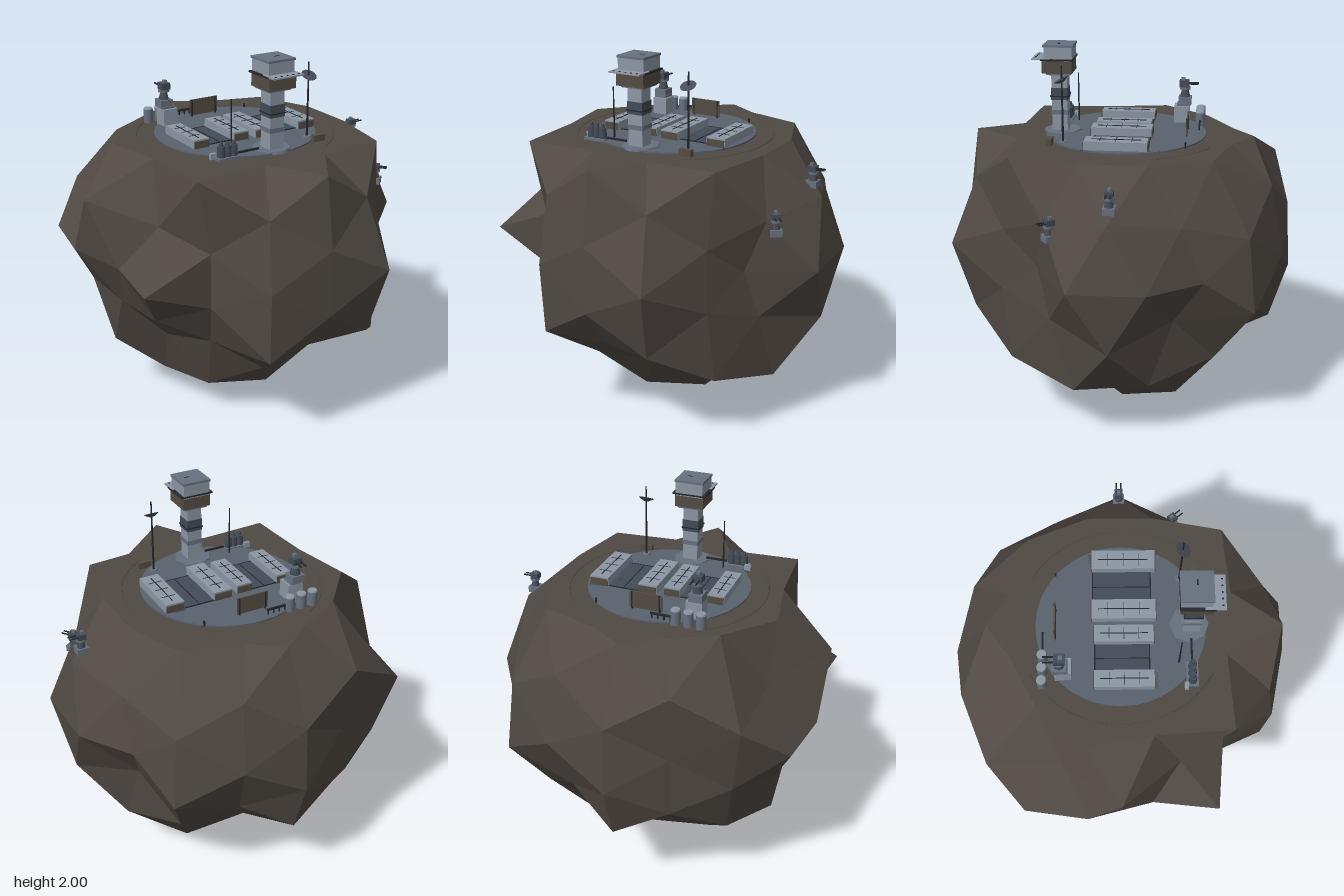
import * as THREE from 'three';

const mat = (name, color) => new THREE.MeshStandardMaterial({ name, color });
const M = {
  rock: mat('rock brown', 0x504943),
  pad: mat('pad blue grey', 0x59626f),
  panel: mat('light panel', 0x8b96a3),
  steel: mat('mid steel', 0x66717f),
  slate: mat('dark slate', 0x434b57),
  dark: mat('near black', 0x24272c),
  band: mat('dull bronze', 0x544c42),
};
const CX = -0.025, CY = 0.97, TOP = 1.52;

// Radius of every rock vertex, grouped by mirrored direction; signs run + before -, x then y then z
const RADII = {
  '53,85,0': [0.9, 0.83, 0.9, 0.9],
  '0,53,85': [0.97, 0.81, 0.82, 0.965],
  '85,0,53': [0.735, 0.875, 0.99, 0.99],
  '20,98,0': [0.9, 0.988, 0.9, 0.988],
  '0,20,98': [0.9, 0.91, 0.9, 0.935],
  '98,0,20': [0.965, 0.95, 0.82, 0.91],
  '0,93,36': [0.9, 0.9, 0.905, 0.88],
  '93,36,0': [0.925, 0.96, 0.96, 0.77],
  '36,0,93': [0.975, 0.92, 0.89, 0.83],
  '40,85,33': [0.9, 0.9, 0.8, 0.96, 0.9, 0.9, 0.89, 0.9],
  '20,73,65': [0.87, 0.88, 0.78, 0.8, 0.82, 0.86, 0.82, 0.8],
  '73,65,20': [0.835, 0.835, 0.99, 0.945, 0.8, 0.885, 0.72, 0.935],
  '58,58,58': [0.93, 0.84, 0.965, 0.9, 0.97, 0.74, 0.72, 0.92],
  '33,40,85': [0.9, 0.92, 0.945, 0.84, 0.9, 0.965, 0.955, 0.88],
  '85,33,40': [0.84, 0.86, 0.8, 0.77, 0.75, 0.763, 0.8, 0.85],
  '65,20,73': [0.8, 0.93, 0.82, 0.985, 0.74, 0.97, 0.74, 0.9],
};

function add(parent, name, geo, material, x, y, z) {
  const m = new THREE.Mesh(geo, material);
  m.name = name;
  m.position.set(x, y, z);
  parent.add(m);
  return m;
}
// Box and cylinder placed by the height of their underside
const box = (p, name, material, w, h, d, x, y, z) =>
  add(p, name, new THREE.BoxGeometry(w, h, d), material, x, y + h / 2, z);
const cyl = (p, name, material, r1, r2, h, x, y, z, n = 12) =>
  add(p, name, new THREE.CylinderGeometry(r1, r2, h, n), material, x, y + h / 2, z);

function group(parent, name, x, y, z) {
  const g = new THREE.Group();
  g.name = name;
  g.position.set(x, y, z);
  parent.add(g);
  return g;
}

// Faceted boulder with a levelled top
function buildRock(root) {
  const geo = new THREE.IcosahedronGeometry(1, 2);
  const pos = geo.attributes.position;
  for (let i = 0; i < pos.count; i++) {
    const v = new THREE.Vector3().fromBufferAttribute(pos, i).normalize();
    const c = [v.x, v.y, v.z];
    const mags = c.map((n) => Math.round(Math.abs(n) * 100));
    const index = c.reduce((k, n, j) => (mags[j] ? k * 2 + (n < 0 ? 1 : 0) : k), 0);
    v.multiplyScalar(RADII[mags.join(',')][index]);
    if (v.y > 0.41) v.y = TOP - CY;
    pos.setXYZ(i, v.x, v.y, v.z);
  }
  geo.computeVertexNormals();
  add(root, 'rock', geo, M.rock, CX, CY, 0);
}

// Twin-barrel gun, about 0.12 tall, firing along +x
function buildTurret(parent, name, x, y, z, turn, s = 1) {
  const g = group(parent, name, x, y, z);
  g.rotation.y = turn;
  g.scale.setScalar(s);
  box(g, 'turretBase', M.steel, 0.06, 0.035, 0.06, 0, -0.005, 0);
  cyl(g, 'turretNeck', M.slate, 0.014, 0.024, 0.04, 0, 0.03, 0, 8);
  cyl(g, 'turretRing', M.steel, 0.026, 0.026, 0.012, 0, 0.065, 0, 10);
  box(g, 'turretHead', M.slate, 0.045, 0.03, 0.042, -0.004, 0.077, 0);
  box(g, 'turretSight', M.steel, 0.018, 0.013, 0.016, -0.01, 0.107, 0);
  for (const side of [-1, 1]) {
    cyl(g, 'barrel', M.dark, 0.004, 0.004, 0.05, 0.037, 0.067, side * 0.012, 6).rotation.z = Math.PI / 2;
  }
}

// Long shed with seams on its roof and darker end doors
function buildShed(parent, x, w, zLen, h) {
  const g = group(parent, 'shed', x, TOP, 0.015);
  box(g, 'shedBody', M.panel, w, h, zLen, 0, 0, 0);
  box(g, 'roofRidge', M.dark, 0.004, 0.003, zLen * 0.8, 0, h, 0);
  for (let i = -1; i <= 1; i++) box(g, 'roofSeam', M.slate, w * 0.7, 0.003, 0.003, 0, h, i * zLen * 0.25);
  for (const side of [-1, 1]) {
    box(g, 'endDoor', M.band, w * 0.94, h * 0.85, 0.006, 0, 0, side * (zLen / 2 + 0.002));
    box(g, 'endSill', M.slate, w, 0.008, 0.02, 0, 0, side * (zLen / 2 + 0.008));
  }
}

function buildBay(parent, x, w, shedW, zLen) {
  box(parent, 'bayFloor', M.slate, w, 0.005, zLen * 0.92, x, TOP + 0.006, 0.005);
  box(parent, 'bayCentreLine', M.dark, 0.003, 0.003, zLen * 0.9, x, TOP + 0.011, 0.005);
  for (const s of [-1, 1]) {
    buildShed(parent, x + s * (w + shedW) / 2, shedW, zLen, 0.053);
    box(parent, 'bayBeacon', M.band, 0.012, 0.005, 0.012, x + s * w * 0.35, TOP + 0.011, s * -0.06);
    box(parent, 'bayEdge', M.dark, w, 0.012, 0.006, x, TOP, 0.005 + s * zLen * 0.46);
  }
}

function buildTower(parent) {
  const g = group(parent, 'controlTower', -0.027, TOP, 0.357);
  cyl(g, 'towerPlinth', M.steel, 0.1, 0.105, 0.014, 0, 0, -0.01, 8);
  box(g, 'towerShaft', M.panel, 0.084, 0.33, 0.084, 0, 0, 0);
  box(g, 'shaftBand', M.slate, 0.09, 0.065, 0.09, 0, 0.18, 0);
  box(g, 'shaftBand', M.steel, 0.09, 0.025, 0.09, 0, 0.1, 0);
  box(g, 'shaftCollar', M.dark, 0.098, 0.006, 0.098, 0, 0.197, 0);
  box(g, 'headFloor', M.steel, 0.13, 0.012, 0.13, 0, 0.318, 0);
  box(g, 'windowBand', M.band, 0.16, 0.065, 0.16, 0, 0.329, 0.005);
  box(g, 'headLedge', M.dark, 0.186, 0.008, 0.17, 0, 0.398, 0.005);
  box(g, 'headUpper', M.panel, 0.152, 0.078, 0.15, 0, 0.392, -0.002);
  box(g, 'headRoof', M.steel, 0.16, 0.012, 0.16, 0, 0.468, -0.002);
  box(g, 'roofHatch', M.dark, 0.03, 0.003, 0.008, 0.02, 0.478, 0);
  box(g, 'frontDeck', M.panel, 0.18, 0.007, 0.1, 0, 0.402, 0.088);
  for (let i = -2; i <= 2; i++) box(g, 'deckLight', M.dark, 0.008, 0.003, 0.008, i * 0.034, 0.409, 0.122);
}

export function createModel() {
  const root = new THREE.Group();
  root.name = 'asteroidBase';
  buildRock(root);

  // Landing pad and curved rails around it
  cyl(root, 'pad', M.pad, 0.435, 0.435, 0.012, CX, TOP - 0.004, 0, 40);
  for (const start of [-Math.PI / 3, Math.PI * 2 / 3]) {
    const rail = add(root, 'curvedRail', new THREE.TorusGeometry(0.53, 0.003, 8, 32, Math.PI * 2 / 3), M.rock, CX, TOP, 0);
    rail.rotation.set(-Math.PI / 2, 0, start);
  }

  buildBay(root, -0.21, 0.15, 0.09, 0.3);
  buildBay(root, 0.18, 0.17, 0.105, 0.325);
  buildTower(root);

  // Dish mast
  const mast = group(root, 'dishMast', 0.23, TOP, 0.305);
  cyl(mast, 'mastFoot', M.steel, 0.02, 0.025, 0.015, 0, 0, 0);
  cyl(mast, 'mastPole', M.dark, 0.004, 0.006, 0.41, 0, 0, 0, 6);
  cyl(mast, 'dish', M.slate, 0.042, 0.015, 0.016, 0, 0.325, 0, 14).rotation.x = 0.5;

  // Whip aerial
  cyl(root, 'whipAerial', M.dark, 0.003, 0.005, 0.28, -0.23, TOP, 0.29, 6);

  // Main gun on its block house
  box(root, 'gunBlock', M.panel, 0.085, 0.1, 0.085, -0.28, TOP, -0.29);
  box(root, 'gunBlockCap', M.steel, 0.07, 0.012, 0.07, -0.285, TOP + 0.1, -0.297);
  buildTurret(root, 'mainGun', -0.29, TOP + 0.11, -0.305, Math.PI / 2, 1.2);

  // Storage tanks, fuel drums and a pipe rack
  for (let i = 0; i < 3; i++) {
    cyl(root, 'storageTank', M.steel, 0.026, 0.026, 0.075, -0.342 + i * 0.067, TOP, -0.395, 14);
    cyl(root, 'tankLid', M.panel, 0.023, 0.026, 0.008, -0.342 + i * 0.067, TOP + 0.075, -0.395, 14);
    cyl(root, 'fuelDrum', M.slate, 0.02, 0.022, 0.06, -0.33 + i * 0.036, TOP + 0.01, 0.355, 10);
    cyl(root, 'drumCap', M.slate, 0.008, 0.012, 0.02, -0.33 + i * 0.036, TOP + 0.07, 0.355, 8);
  }
  box(root, 'drumPallet', M.steel, 0.13, 0.014, 0.06, -0.295, TOP, 0.355);
  box(root, 'pumpBox', M.panel, 0.035, 0.03, 0.02, -0.36, TOP, 0.325);
  box(root, 'tankPipe', M.dark, 0.11, 0.01, 0.01, -0.13, TOP + 0.03, -0.395);
  box(root, 'drumPipe', M.dark, 0.12, 0.01, 0.01, -0.17, TOP + 0.015, 0.355);
  for (let i = 0; i < 4; i++) box(root, 'pipePost', M.dark, 0.006, 0.035, 0.006, -0.18 + i * 0.033, TOP, -0.395);

  // Upright screen, crate and marker post
  box(root, 'screen', M.band, 0.175, 0.09, 0.006, -0.025, TOP + 0.015, -0.333);
  for (const s of [-1, 1]) box(root, 'screenPost', M.dark, 0.008, 0.105, 0.009, -0.025 + s * 0.075, TOP, -0.333);
  box(root, 'crate', M.band, 0.07, 0.035, 0.028, 0.255, TOP, 0.372);
  cyl(root, 'markerPost', M.dark, 0.005, 0.005, 0.03, 0.25, TOP, -0.335, 6);

  // Guns set into the slope
  buildTurret(root, 'slopeGun', 0.785, 1.345, -0.005, 0);
  buildTurret(root, 'slopeGun', 0.725, 1.17, 0.3, -0.9);
  return root;
}
